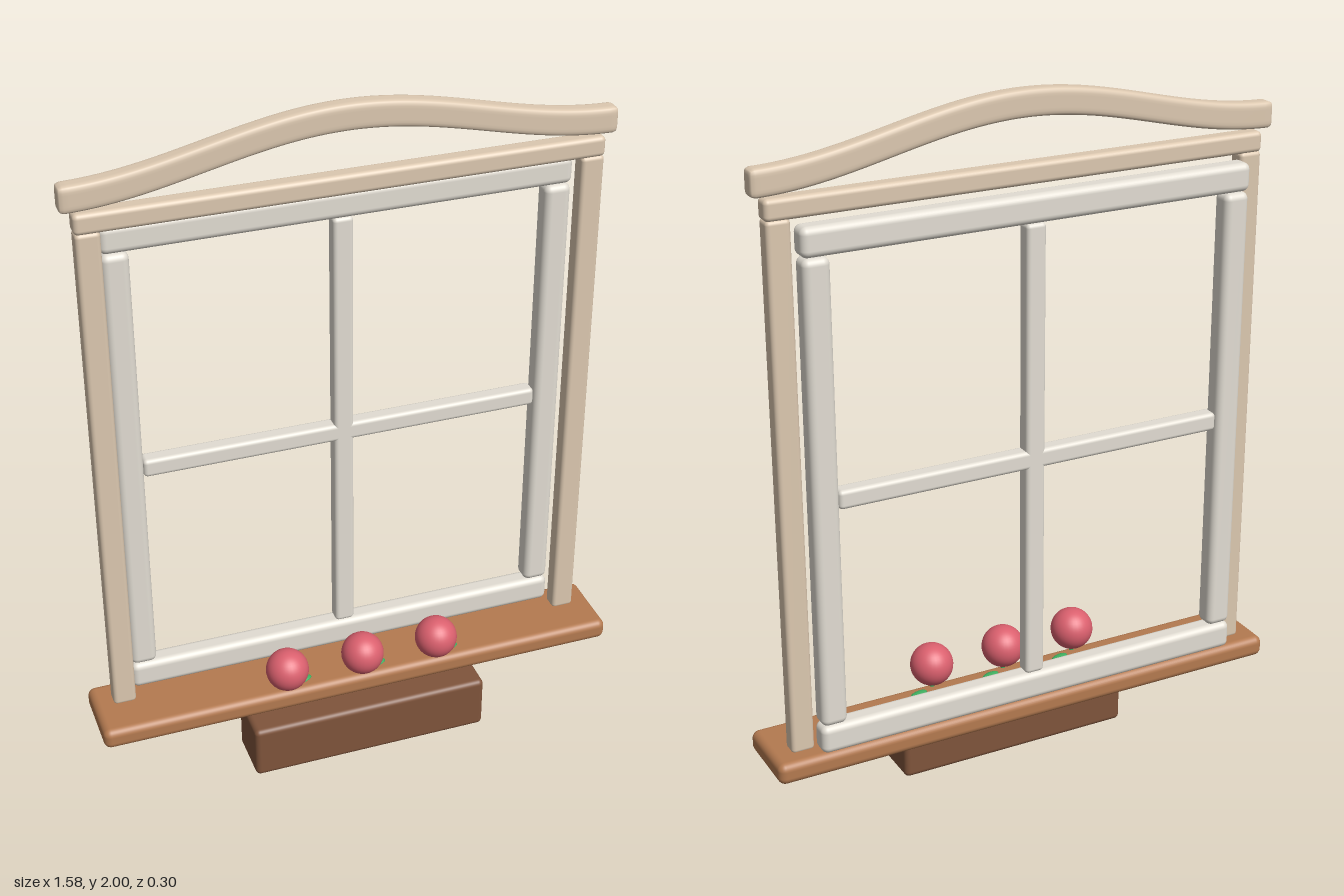
import * as THREE from 'three';
import { RoundedBoxGeometry } from 'three/addons/geometries/RoundedBoxGeometry.js';
import { mergeVertices } from 'three/addons/utils/BufferGeometryUtils.js';

const paint = (color) => new THREE.MeshStandardMaterial({ color });

// Rounded bar given by its extents on each axis
function bar(name, [x0, x1], [y0, y1], [z0, z1], radius, material) {
  const mesh = new THREE.Mesh(new RoundedBoxGeometry(x1 - x0, y1 - y0, z1 - z0, 4, radius), material);
  mesh.position.set((x0 + x1) / 2, (y0 + y1) / 2, (z0 + z1) / 2);
  mesh.name = name;
  return mesh;
}

// Finely divided bar: edges rounded, then lifted along a cosine arch
function archedBar(width, height, depth, radius, rise) {
  let geo = new THREE.BoxGeometry(width, height, depth, 110, 10, 8);
  geo.deleteAttribute('uv');
  geo.deleteAttribute('normal');
  geo = mergeVertices(geo);
  const pos = geo.attributes.position;
  const inner = new THREE.Vector3(width / 2 - radius, height / 2 - radius, depth / 2 - radius);
  const low = inner.clone().negate();
  const p = new THREE.Vector3();
  const core = new THREE.Vector3();
  for (let i = 0; i < pos.count; i++) {
    p.fromBufferAttribute(pos, i);
    core.copy(p).clamp(low, inner);
    p.sub(core).setLength(radius).add(core);
    p.y += rise * (1 + Math.cos((2 * Math.PI * p.x) / width)) / 2;
    pos.setXYZ(i, p.x, p.y, p.z);
  }
  geo.computeVertexNormals();
  return geo;
}

export function createModel() {
  const model = new THREE.Group();
  model.name = 'window';
  const casing = paint(0xdcc8b0);
  const sashPaint = paint(0xe2ddd3);
  const sillWood = paint(0xb47a50);
  const boxWood = paint(0x7f543b);
  const petal = paint(0xdb606e);
  const green = paint(0x3fae5f);

  // Sill and the planter box below it
  model.add(bar('sill', [-0.79, 0.79], [0.17, 0.234], [-0.144, 0.084], 0.022, sillWood));
  model.add(bar('planterBox', [-0.36, 0.36], [0, 0.166], [-0.02, 0.148], 0.016, boxWood));

  // Outer casing
  const caseZ = [-0.09, -0.037];
  for (const s of [-1, 1]) {
    const jamb = bar(s > 0 ? 'leftJamb' : 'rightJamb', [0.664, 0.731], [0.228, 1.75], caseZ, 0.012, casing);
    jamb.position.x *= s;
    model.add(jamb);
  }
  model.add(bar('header', [-0.733, 0.733], [1.746, 1.805], caseZ, 0.014, casing));
  const crown = new THREE.Mesh(archedBar(1.53, 0.075, 0.054, 0.014, 0.115), casing);
  crown.position.set(0, 1.8475, -0.0635);
  crown.name = 'archedCrown';
  model.add(crown);

  // Sash frame with cross bars
  const sash = new THREE.Group();
  sash.name = 'sash';
  const sashZ = [-0.148, -0.082];
  sash.add(bar('bottomRail', [-0.662, 0.662], [0.236, 0.32], sashZ, 0.02, sashPaint));
  sash.add(bar('topRail', [-0.662, 0.662], [1.657, 1.738], sashZ, 0.02, sashPaint));
  for (const s of [-1, 1]) {
    const stile = bar(s > 0 ? 'leftStile' : 'rightStile', [0.584, 0.66], [0.321, 1.656], sashZ, 0.02, sashPaint);
    stile.position.x *= s;
    sash.add(stile);
  }
  const barZ = [-0.14, -0.09];
  sash.add(bar('verticalMuntin', [-0.029, 0.029], [0.318, 1.657], barZ, 0.012, sashPaint));
  sash.add(bar('horizontalMuntin', [-0.584, 0.584], [0.958, 1.012], barZ, 0.012, sashPaint));
  model.add(sash);

  // Round blooms, each with a short stem and a leaf low on the sill
  const bloomGeo = new THREE.SphereGeometry(0.063, 32, 24);
  const stemGeo = new THREE.CylinderGeometry(0.007, 0.007, 0.06, 10);
  const leafGeo = new THREE.SphereGeometry(1, 16, 10);
  for (const x of [-0.233, 0, 0.233]) {
    const flower = new THREE.Group();
    flower.name = 'flower';
    const bloom = new THREE.Mesh(bloomGeo, petal);
    bloom.name = 'bloom';
    bloom.position.y = 0.307;
    const stem = new THREE.Mesh(stemGeo, green);
    stem.name = 'stem';
    stem.position.y = 0.244;
    const leaf = new THREE.Mesh(leafGeo, green);
    leaf.name = 'leaf';
    leaf.scale.set(0.03, 0.007, 0.014);
    leaf.position.set(0.055, 0.234, -0.026);
    leaf.rotation.y = 0.3;
    flower.add(bloom, stem, leaf);
    flower.position.set(x, 0, 0.063);
    model.add(flower);
  }
  return model;
}
